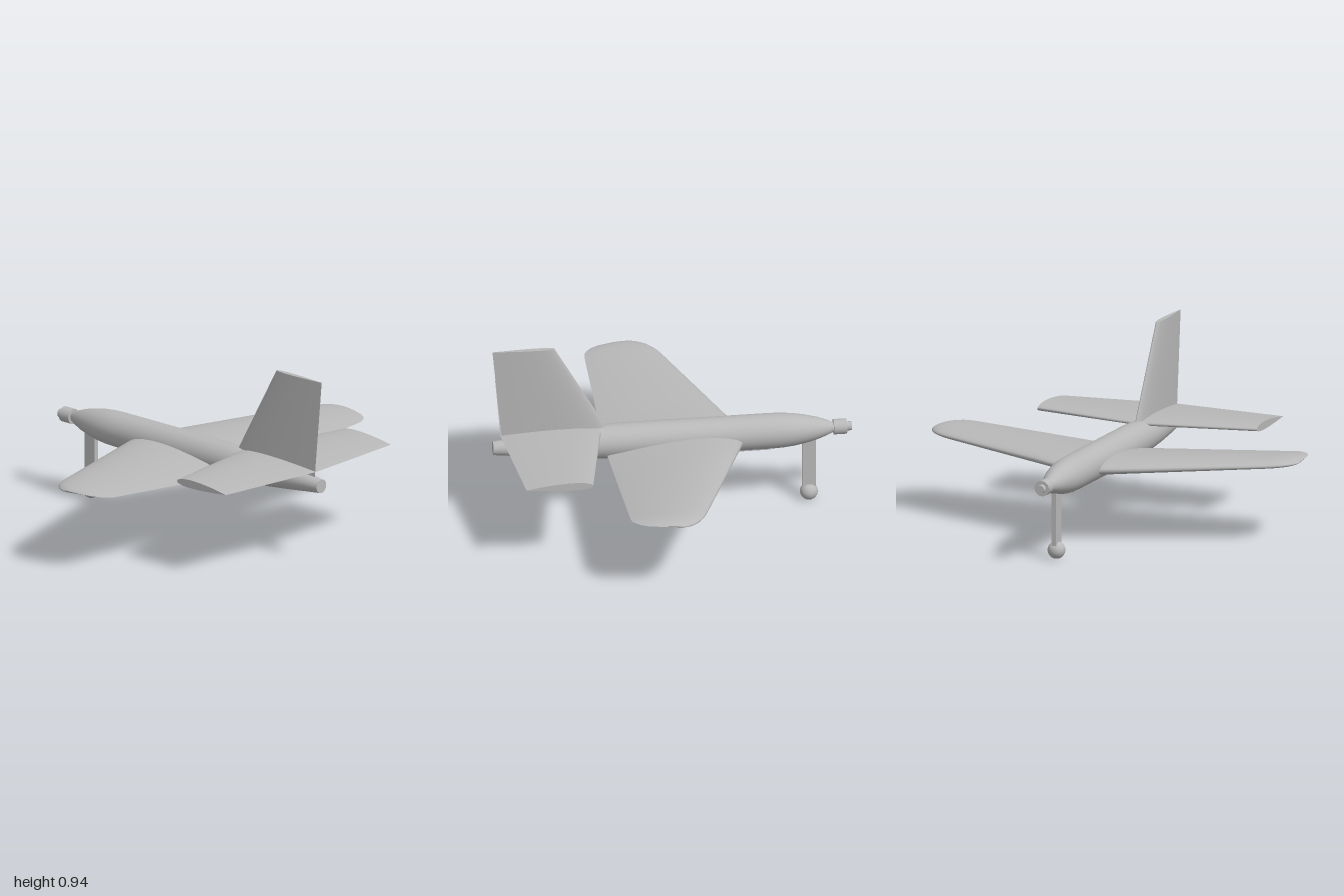
import * as THREE from 'three';

const AXIS_Y = 0.4;

// Airfoil ring, counterclockwise from the trailing edge over the top to the nose and back below
function airfoil(thickness, camber, steps = 16) {
  const ring = [];
  for (let i = -steps; i <= steps; i++) {
    const t = (1 - Math.cos((i / steps) * Math.PI)) / 2;
    const half = 5 * thickness * (0.2969 * Math.sqrt(t) - 0.126 * t - 0.3516 * t ** 2 + 0.2843 * t ** 3 - 0.1036 * t ** 4);
    ring.push([t, 4 * camber * t * (1 - t) + (i <= 0 ? half : -half)]);
  }
  return ring;
}

// Loft of airfoil sections along +z; each section gives z, nose x, tail x, nose y, tail y, thickness
function loft(sections, camber = 0) {
  const pos = [], index = [];
  const rings = sections.map(([z, x0, x1, y0, y1, thick]) => {
    const chord = x1 - x0;
    return airfoil(thick / chord, camber).map(([t, h]) => [x0 + t * chord, y0 + t * (y1 - y0) + h * chord, z]);
  });
  const n = rings[0].length;
  rings.forEach((ring) => ring.forEach((p) => pos.push(...p)));
  for (let s = 0; s < rings.length - 1; s++) {
    for (let j = 0; j < n - 1; j++) {
      const a = s * n + j, b = a + 1, c = b + n, d = a + n;
      index.push(a, b, c, a, c, d);
    }
  }
  // Flat end caps with their own vertices
  [rings[0], rings[rings.length - 1]].forEach((ring, end) => {
    const base = pos.length / 3;
    ring.forEach((p) => pos.push(...p));
    for (let j = 1; j < n - 2; j++) {
      if (end) index.push(base, base + j, base + j + 1);
      else index.push(base, base + j + 1, base + j);
    }
  });
  const geo = new THREE.BufferGeometry();
  geo.setAttribute('position', new THREE.Float32BufferAttribute(pos, 3));
  geo.setIndex(index);
  geo.computeVertexNormals();
  return geo;
}

// Half-span sections mirrored to the other side
const mirrored = (half) => [
  ...half.slice(1).reverse().map(([z, ...rest]) => [-z, ...rest]),
  ...half,
];

export function createModel() {
  const model = new THREE.Group();
  model.name = 'gliderPlane';
  const grey = new THREE.MeshStandardMaterial({ color: 0xb8b8b8 });
  grey.name = 'grey';

  const add = (name, geo, x = 0, y = 0, z = 0) => {
    const mesh = new THREE.Mesh(geo, grey);
    mesh.name = name;
    mesh.position.set(x, y, z);
    model.add(mesh);
  };

  // Fuselage, turned along x with the nose at -x
  const profile = [
    [-0.82, 0.024], [-0.79, 0.038], [-0.74, 0.056], [-0.68, 0.071], [-0.62, 0.082],
    [-0.56, 0.088], [-0.5, 0.09], [0.1, 0.09], [0.27, 0.089], [0.4, 0.084],
    [0.55, 0.073], [0.7, 0.058], [0.82, 0.044], [0.905, 0.035],
  ].map(([x, r]) => new THREE.Vector2(r, x));
  add('fuselage', new THREE.LatheGeometry(profile, 48).rotateZ(-Math.PI / 2), 0, AXIS_Y);

  // Nose fitting and the disc closing the tail
  const rod = (name, x0, x1, r) =>
    add(name, new THREE.CylinderGeometry(r, r, x1 - x0, 32).rotateZ(Math.PI / 2), (x0 + x1) / 2, AXIS_Y);
  rod('noseShaft', -0.912, -0.88, 0.023);
  rod('noseCollar', -0.886, -0.82, 0.039);
  rod('noseNeck', -0.83, -0.8, 0.024);
  rod('tailEnd', 0.89, 0.907, 0.035);

  // Main wing: planform with rounded tips, rising towards the tips
  const plan = [
    [0, -0.384, 0.337], [0.3, -0.272, 0.334], [0.6, -0.161, 0.33], [0.86, -0.064, 0.326],
    [0.9, -0.046, 0.323], [0.93, -0.028, 0.307], [0.955, -0.008, 0.283],
    [0.975, 0.014, 0.247], [0.99, 0.038, 0.195], [0.997, 0.055, 0.145], [1, 0.068, 0.105],
  ];
  const wing = plan.map(([z, x0, x1]) => [
    z, x0, x1, 0.379 + 0.04 * z, 0.351 + 0.074 * z, 0.117 * (x1 - x0),
  ]);
  add('mainWing', loft(mirrored(wing), 0.02));

  // Horizontal tail
  add('tailplane', loft(mirrored([
    [0, 0.357, 0.869, 0.47, 0.467, 0.043],
    [0.598, 0.475, 0.816, 0.47, 0.467, 0.042],
  ]), 0.008));

  // Upright fin
  add('fin', loft([
    [0.43, 0.301, 0.86, 0, 0, 0.046],
    [0.945, 0.595, 0.909, 0, 0, 0.028],
  ]).rotateX(-Math.PI / 2));

  // Front leg with its ball, and the skid under the belly
  add('frontLeg', new THREE.BoxGeometry(0.068, 0.28, 0.026), -0.697, 0.21);
  add('legBall', new THREE.SphereGeometry(0.045, 32, 24), -0.696, 0.045);
  add('bellySkid', new THREE.BoxGeometry(0.512, 0.03, 0.024), -0.243, 0.314);

  return model;
}
